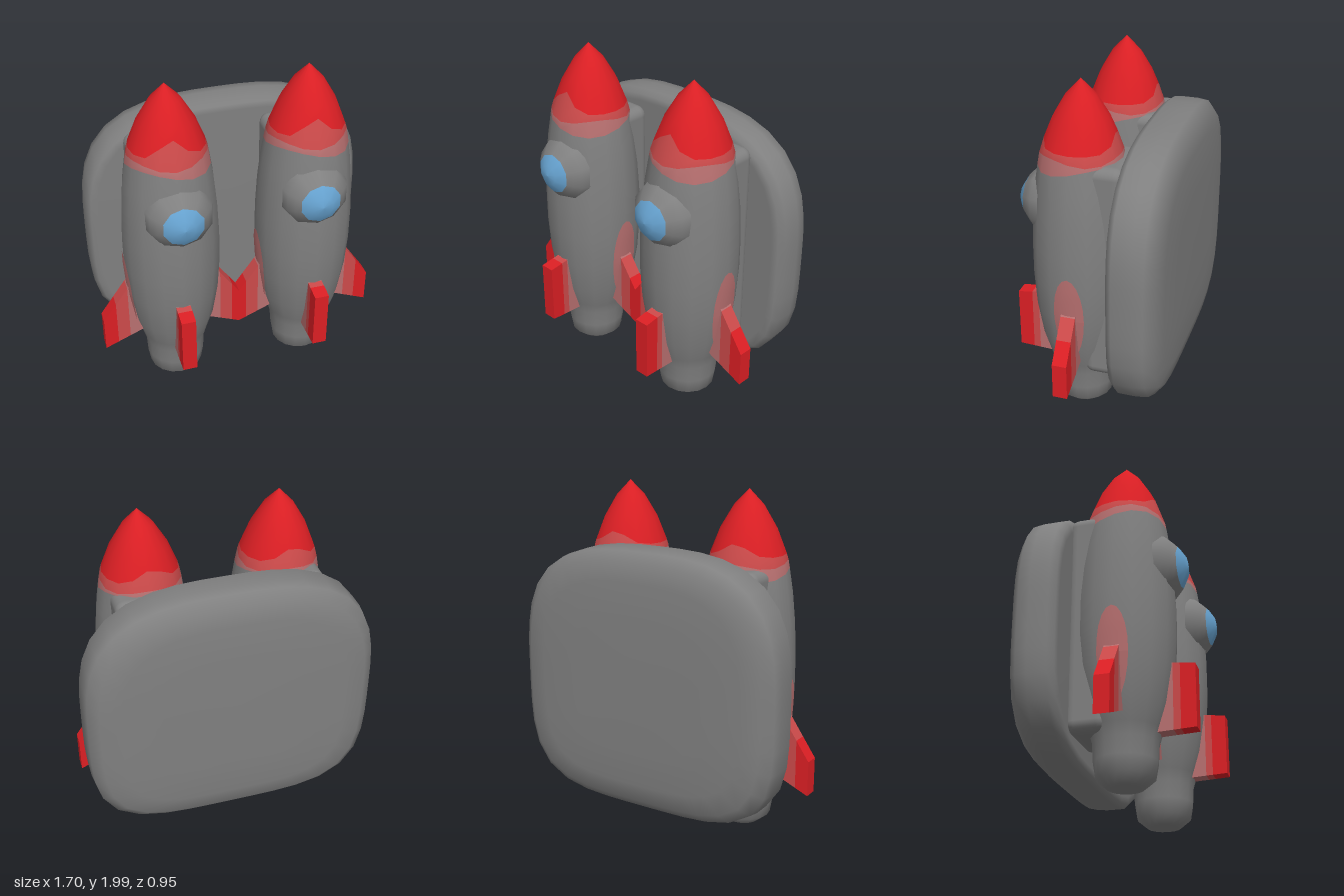
import * as THREE from 'three';
import { RoundedBoxGeometry } from 'three/addons/geometries/RoundedBoxGeometry.js';

const mat = (name, color) => {
  const m = new THREE.MeshStandardMaterial({ color });
  m.name = name;
  return m;
};

// Smooth closed skin through equal-length rings, capped by their collapsed ends.
// rowMaterial(i) gives the material index of the band above ring i.
function loft(rings, rowMaterial = () => 0) {
  const n = rings[0].length, index = [];
  const g = new THREE.BufferGeometry().setFromPoints(rings.flat());
  for (let i = 0; i < rings.length - 1; i++) {
    g.addGroup(index.length, n * 6, rowMaterial(i));
    for (let j = 0; j < n; j++) {
      const a = i * n + j, b = i * n + (j + 1) % n;
      index.push(a, a + n, b, b, a + n, b + n);
    }
  }
  g.setIndex(index);
  g.computeVertexNormals();
  return g;
}

// Rocket outline as [height, radius]
const PROFILE = [[0.01, 0], [0.01, 0.1], [0.06, 0.16], [0.15, 0.175], [0.25, 0.18], [0.32, 0.2],
  [0.45, 0.24], [0.65, 0.272], [0.85, 0.285], [1.05, 0.285], [1.25, 0.275], [1.42, 0.258],
  [1.52, 0.243], [1.62, 0.225], [1.78, 0.162], [1.91, 0.085], [2, 0]];

function radiusAt(y) {
  for (let i = 2; i < PROFILE.length; i++) {
    const [y0, r0] = PROFILE[i - 1], [y1, r1] = PROFILE[i];
    if (y <= y1) return r0 + (r1 - r0) * (y - y0) / (y1 - y0);
  }
  return 0;
}

// Hull with a painted nose whose colour borders wander around the circumference
function hullGeometry() {
  const sides = 16;
  const bump = (t, centre, width) => Math.exp(-(((t - centre) / width) ** 2));
  const wave = t => bump(t, 1.65, 0.45) + 0.7 * bump(t, 4.6, 0.5);
  const ring = (yOf, rOf) => Array.from({ length: sides }, (_, j) => {
    const t = j / sides * Math.PI * 2, y = yOf(t), r = rOf(y);
    return new THREE.Vector3(Math.cos(t) * r, y, Math.sin(t) * r);
  });
  const rings = PROFILE.slice(0, 12).map(([y, r]) => ring(() => y, () => r));
  const grey = rings.length;
  const borders = [t => 1.54 - 0.03 * Math.sin(2 * t), t => 1.595 + 0.015 * Math.sin(3 * t),
    t => 1.64 + 0.11 * wave(t), t => 1.78 + 0.03 * wave(t), () => 1.91, () => 2];
  borders.forEach(b => rings.push(ring(b, radiusAt)));
  return loft(rings, i => (i < grey ? 0 : Math.min(i - grey + 1, 3)));
}

// Fin slice between two radii; edges are linear between root and tip
function finSlice(f, r0, r1) {
  const at = (r, a, b) => a + (b - a) * (r - f.root) / (f.tip - f.root);
  const s = new THREE.Shape([
    new THREE.Vector2(r0, at(r0, f.low[0], f.low[1])), new THREE.Vector2(r1, at(r1, f.low[0], f.low[1])),
    new THREE.Vector2(r1, at(r1, f.high[0], f.high[1])), new THREE.Vector2(r0, at(r0, f.high[0], f.high[1]))]);
  return new THREE.ExtrudeGeometry(s, { depth: 0.085, bevelEnabled: false }).translate(0, 0, -0.0425);
}

export function createModel() {
  const grey = mat('hull grey', 0x808080);
  const red = mat('bright red', 0xdc1f24);
  const lightRed = mat('faded red', 0xcc4a4a);
  const pale = mat('pale red', 0xb87070);
  const blue = mat('window blue', 0x68a5d3);

  const model = new THREE.Group();
  model.name = 'twinRocketPack';
  const add = (parent, name, geometry, material) => {
    const m = new THREE.Mesh(geometry, material);
    m.name = name;
    parent.add(m);
    return m;
  };

  // Rounded back plate: superellipse rings stacked along z
  const plateRing = ([z, k]) => Array.from({ length: 40 }, (_, j) => {
    const t = j / 40 * Math.PI * 2, c = Math.cos(t), s = Math.sin(t);
    const n = s > 0 ? 3 : 4;
    const q = k / (Math.abs(c) ** n + Math.abs(s) ** n) ** (1 / n);
    return new THREE.Vector3(c * q * 0.85, 0.915 + s * q * 0.765, z);
  });
  const plate = [[-0.475, 0], [-0.475, 0.5], [-0.466, 0.78], [-0.445, 0.92], [-0.395, 0.99],
    [-0.33, 1], [-0.22, 1], [-0.185, 0.97], [-0.18, 0.92], [-0.18, 0]].map(plateRing);
  // reversed winding direction suits rings that advance along +z
  add(model, 'backPlate', loft(plate.map(r => r.reverse())), grey);

  const hull = hullGeometry();
  const sideFin = { root: 0.18, tip: 0.44, low: [0.375, 0.265], high: [0.85, 0.475] };
  const innerFin = { root: 0.18, tip: 0.405, low: [0.375, 0.28], high: [0.84, 0.52] };
  const frontFin = { root: 0.18, tip: 0.395, low: [0.29, 0.3], high: [0.69, 0.66] };

  for (const side of [1, -1]) {
    const rocket = new THREE.Group();
    rocket.name = side > 0 ? 'leftRocket' : 'rightRocket';
    rocket.position.set(side * 0.405, 0, 0.08);
    model.add(rocket);

    add(rocket, 'hullAndNose', hull, [grey, pale, lightRed, red]);

    // Saddle joining the rocket to the plate
    add(rocket, 'saddle', new RoundedBoxGeometry(0.4, 1.3, 0.24, 3, 0.06), grey).position.set(0, 0.93, -0.17);

    // Fins fade from pale at the hull to red at the tip
    const fins = [['outerFin', sideFin, side > 0 ? 0 : Math.PI],
      ['innerFin', innerFin, side > 0 ? Math.PI : 0], ['frontFin', frontFin, -Math.PI / 2]];
    for (const [name, f, turn] of fins) {
      const fin = new THREE.Group();
      fin.name = name;
      fin.rotation.y = turn;
      rocket.add(fin);
      const cuts = name === 'frontFin' ? [f.root, 0.27, 0.31, f.tip] : [f.root, 0.285, 0.36, f.tip];
      [pale, lightRed, red].forEach((m, i) => add(fin, name + 'Band', finSlice(f, cuts[i], cuts[i + 1]), m));
    }

    // Pale paint patches wrapped on the hull above the side fins
    for (const turn of [0, Math.PI]) {
      const g = new THREE.RingGeometry(0.001, 1, 20, 4);
      const p = g.attributes.position;
      for (let i = 0; i < p.count; i++) {
        const t = p.getX(i) * 0.32, y = 0.67 + p.getY(i) * 0.27, r = radiusAt(y) + 0.005;
        p.setXYZ(i, Math.cos(t) * r, y, -Math.sin(t) * r);
      }
      g.computeVertexNormals();
      add(rocket, 'finPatch', g, pale).rotation.y = turn;
    }

    // Bulging porthole facing forward
    const bulge = pts => new THREE.LatheGeometry(pts.map(([r, y]) => new THREE.Vector2(r, y)), 10).rotateX(Math.PI / 2);
    const rim = add(rocket, 'portholeRim', bulge([[0.2, 0.2], [0.185, 0.25], [0.15, 0.287], [0.12, 0.315]]), grey);
    const glass = add(rocket, 'portholeGlass', bulge([[0.12, 0.315], [0.06, 0.352], [0, 0.362]]), blue);
    for (const m of [rim, glass]) m.position.set(side * -0.01, 1.28, 0);
  }
  return model;
}
